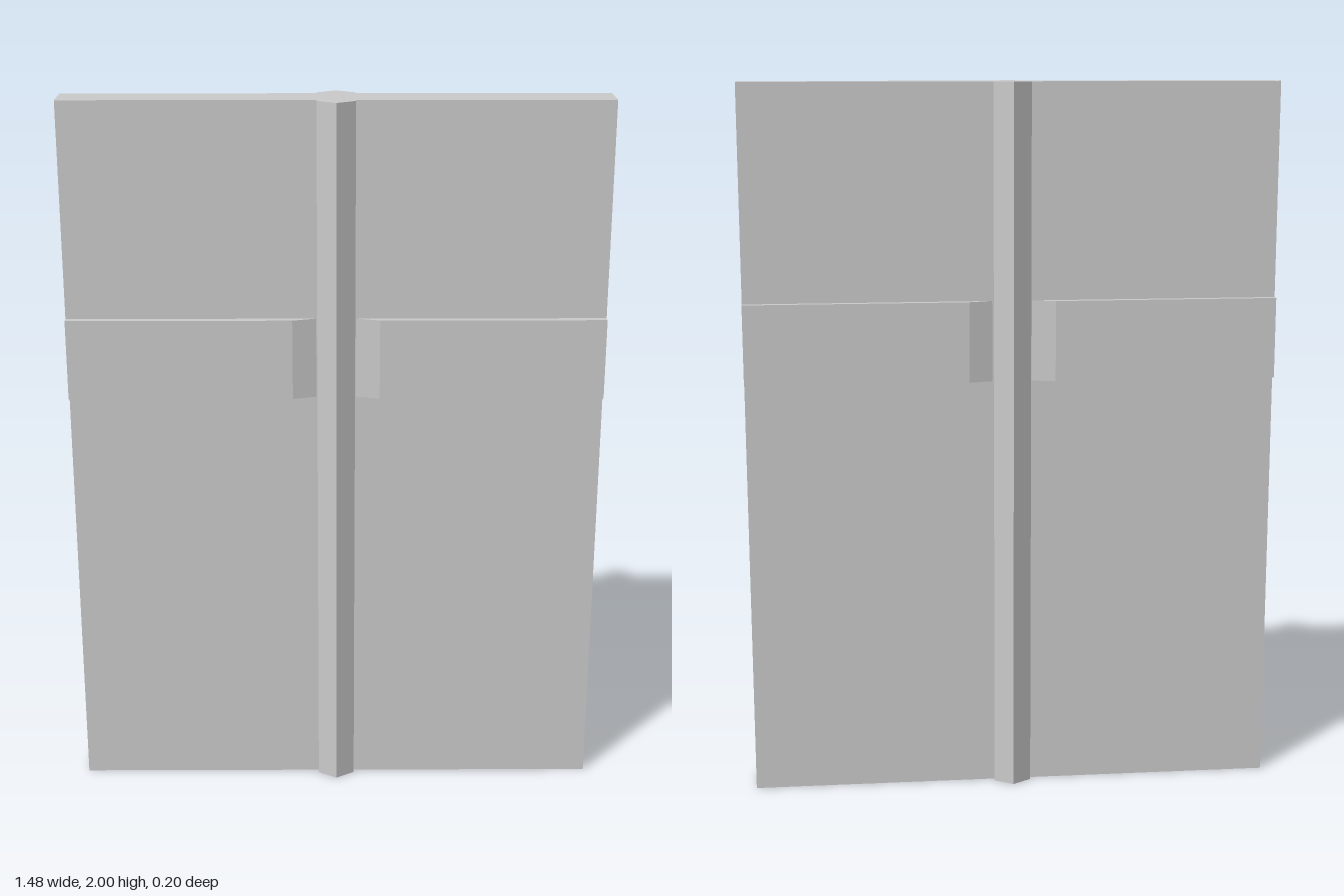
import * as THREE from 'three';

const material = new THREE.MeshStandardMaterial({ color: 0xcccccc, flatShading: true });

// Extrudes a plan outline ([x, z] points, counter-clockwise) upward from y0 to y1
function prism(name, outline, y0, y1) {
  const shape = new THREE.Shape(outline.map(([x, z]) => new THREE.Vector2(x, z)));
  const geometry = new THREE.ExtrudeGeometry(shape, { depth: y1 - y0, bevelEnabled: false });
  geometry.rotateX(-Math.PI / 2).translate(0, y0, 0);
  const mesh = new THREE.Mesh(geometry, material);
  mesh.name = name;
  return mesh;
}

export function createModel() {
  const model = new THREE.Group();
  model.name = 'doublePanel';
  const halfWidth = 0.74, panelZ = 0.055, bandZ = 0.075;

  // Flat panel
  const panel = new THREE.Mesh(new THREE.BoxGeometry(halfWidth * 2, 2, panelZ * 2), material);
  panel.name = 'panel';
  panel.position.y = 1;
  model.add(panel);

  // Ridged central post
  const px = 0.052, pz = 0.069, ridge = 0.102;
  model.add(prism('centrePost',
    [[px, -pz], [px, pz], [0, ridge], [-px, pz], [-px, -pz], [0, -ridge]], 0, 2));

  // Cross bands, tapering down to the panel beside the post
  const band = [[0.055, -panelZ], [0.12, -bandZ], [halfWidth, -bandZ],
    [halfWidth, bandZ], [0.12, bandZ], [0.055, panelZ]];
  model.add(prism('leftBand', band, 1.18, 1.405));
  model.add(prism('rightBand', band.map(([x, z]) => [-x, -z]), 1.18, 1.405));

  return model;
}
